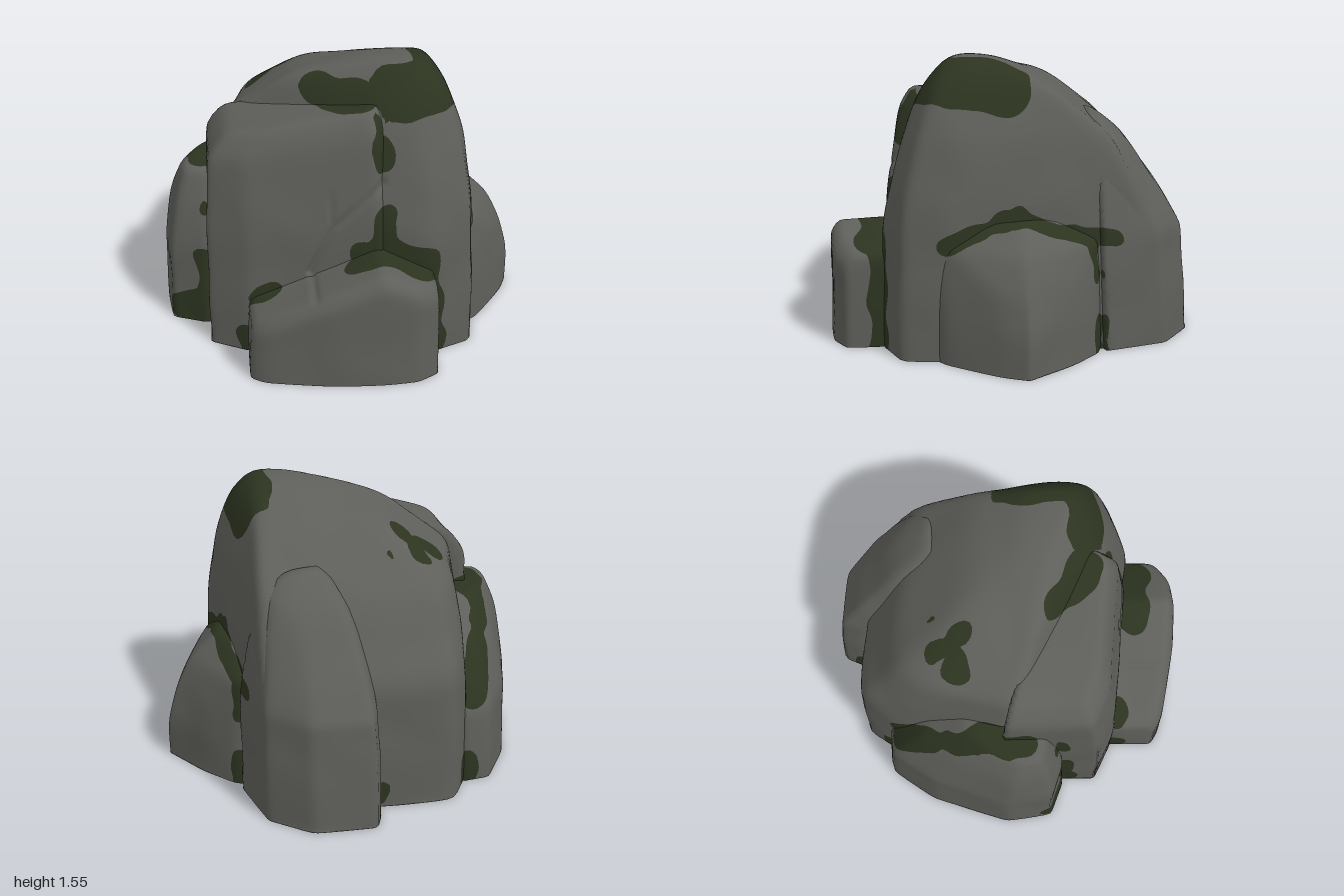
import * as THREE from 'three';
import { mergeVertices } from 'three/addons/utils/BufferGeometryUtils.js';
import { ConvexGeometry } from 'three/addons/geometries/ConvexGeometry.js';

const V = (x, y, z) => new THREE.Vector3(x, y, z);

// Rough block: a footprint [x, z] repeated at each level [y, scaleX, scaleZ, shiftX, shiftZ];
// the top falls away from x = ridge by the given slope
function roughBlock(footprint, levels, ridge = 0, slope = 0) {
  const corners = [], centre = V(0, 0, 0);
  for (const [y, sx, sz, dx, dz] of [[-0.2, 1, 1, 0, 0], [0, 1, 1, 0, 0], ...levels]) {
    for (const [fx, fz] of footprint) {
      const x = fx * sx + dx;
      const p = V(x, y > 0 ? y - slope * Math.abs(x - ridge) : y, fz * sz + dz);
      corners.push(p);
      centre.add(p);
    }
  }
  centre.divideScalar(corners.length);
  centre.y *= 0.8;
  return { corners, centre };
}

const mainBoulder = () => roughBlock(
  [[-0.72, -0.05], [-0.55, -0.7], [-0.42, -0.87], [0, -0.85], [0.62, -0.72], [0.72, 0.4], [0.67, 0.66], [0.42, 0.75], [0.15, 0.69]],
  [[0.7, 0.97, 0.97, 0, 0], [1.15, 0.89, 0.74, 0, 0.06], [1.44, 0.58, 0.42, 0.13, 0.17], [1.58, 0.16, 0.12, 0.31, 0.28]]);

const backBoulder = () => roughBlock(
  [[0, -0.88], [0.06, -1.01], [0.4, -0.97], [0.61, -0.79], [0.68, -0.45], [0.05, -0.4]],
  [[0.6, 0.97, 0.97, 0.01, 0.02], [0.93, 0.8, 0.6, 0.06, -0.14], [1.14, 0.6, 0.3, 0.12, -0.28], [1.27, 0.3, 0.1, 0.2, -0.32]]);

const frontSlab = () => roughBlock(
  [[-0.76, -0.08], [-0.77, 0.5], [-0.55, 0.62], [0.17, 0.71], [0.24, 0.6], [0.2, 0.3]],
  [[0.8, 0.97, 0.96, -0.02, 0], [1.27, 0.92, 0.82, -0.03, 0.02], [1.39, 0.78, 0.68, -0.03, 0.05]], 0.16, 0.2);

const frontBoulder = () => roughBlock(
  [[-0.56, 0.5], [-0.57, 0.86], [-0.49, 0.91], [-0.1, 0.99], [0.13, 1.005], [0.32, 0.995], [0.44, 0.93], [0.46, 0.55], [0.13, 0.5]],
  [[0.58, 0.99, 0.99, 0, 0], [0.65, 0.96, 0.92, 0, 0.02]], 0.13, 0.46);

const rightBoulder = () => roughBlock(
  [[-0.5, -0.72], [-0.67, -0.71], [-0.85, -0.46], [-1.005, -0.03], [-0.97, 0.23], [-0.78, 0.32], [-0.5, 0.2]],
  [[0.42, 0.98, 0.96, -0.01, 0], [0.73, 0.9, 0.72, -0.04, 0.03], [0.92, 0.58, 0.4, -0.29, 0.06]]);

const leftBoulder = () => roughBlock(
  [[0.6, -0.44], [0.7, -0.4], [0.85, -0.23], [1.01, 0.02], [0.95, 0.15], [0.74, 0.43], [0.6, 0.52]],
  [[0.22, 0.98, 1, 0.01, 0], [0.4, 0.88, 0.98, 0.07, 0], [0.61, 0.6, 0.94, 0.24, 0], [0.75, 0.25, 0.45, 0.45, 0.02]]);

// A band of radius r along a path of points
const band = (r, ...points) => points.slice(1).map((p, i) => ({ r, line: new THREE.Line3(V(...points[i]), V(...p)) }));
// An upright band, marking a spot on a sloping top
const spot = (r, x, z) => band(r, [x, 0.95, z], [x, 1.5, z]);

// Moss on the peak, the slab top, the front boulder and the back slope
const mossPatches = [
  ...band(0.165, [0.48, 1.42, 0.1], [0.42, 1.43, 0.38], [0.28, 1.42, 0.42]),
  ...band(0.1, [-0.15, 1.38, 0.27], [0.08, 1.38, 0.42]),
  ...band(0.09, [0.03, 0.63, 0.75], [0.35, 0.58, 0.77]),
  ...spot(0.08, -0.43, -0.28), ...spot(0.06, -0.34, -0.39), ...spot(0.05, -0.27, -0.25), ...spot(0.035, -0.17, -0.39),
];

// Moss along the joints between boulders
const mossJoints = [
  ...band(0.055, [0.17, 1.35, 0.55], [0.18, 1.1, 0.6]),
  ...band(0.06, [0.18, 0.82, 0.67], [0.16, 0.66, 0.69], [0.4, 0.58, 0.73], [0.45, 0, 0.74]),
  ...band(0.045, [-0.42, 0.39, 0.63], [-0.54, 0.33, 0.63]),
  ...band(0.06, [-0.58, 0.1, 0.63], [-0.58, 0, 0.63]),
  ...band(0.085, [-0.76, 0.89, 0.08], [-0.7, 0.84, -0.2], [-0.58, 0.5, -0.64]),
  ...band(0.06, [-0.53, 0.14, -0.72], [-0.53, 0, -0.73]),
  ...band(0.045, [-0.78, 0.9, 0.24], [-0.77, 0.72, 0.28]),
  ...band(0.045, [-0.78, 0.42, 0.3], [-0.78, 0.2, 0.31]),
  ...band(0.1, [-0.92, 0.07, 0.25], [-0.79, 0.1, 0.31]),
  ...band(0.045, [0.68, 0.62, 0.42], [0.68, 0.75, 0.1]),
  ...band(0.05, [0.68, 0.75, 0.03], [0.66, 0.65, -0.3], [0.65, 0.62, -0.48]),
  ...band(0.045, [0.67, 0.6, -0.38], [0.68, 0.44, -0.39]),
  ...band(0.06, [0.69, 0.16, -0.41], [0.69, 0, -0.42]),
  ...band(0.05, [0, 0.1, -0.87], [0, 0, -0.87]),
];
const moss = [...mossPatches, ...mossJoints];

// Cracks across the slab, drawn in x and y
const cracks = [
  ...band(0.03, [0.16, 1, 0], [-0.1, 0.76, 0], [-0.22, 0.5, 0]),
  ...band(0.02, [-0.1, 0.76, 0], [-0.11, 0.95, 0]),
];

const near = V();
const depthIn = (bands, p) => Math.max(...bands.map(({ r, line }) => r - line.closestPointToPoint(p, true, near).distanceTo(p)));
const wave = (p, f) => (Math.sin(p.x * f + 2 * Math.sin(p.y * f * 0.7)) + Math.sin(p.y * f * 1.1 + 2 * Math.sin(p.z * f * 0.8))
  + Math.sin(p.z * f * 0.9 + 2 * Math.sin(p.x * f * 0.6))) / 3;
const crackDepth = (p) => (p.z > 0.3 ? 0.8 * Math.max(0, depthIn(cracks, V(p.x, p.y, 0))) : 0);

// Worn stone: a fine sphere pushed out to the softened planes of the block's hull
function wornStone({ corners, centre }, detail) {
  const hull = new ConvexGeometry(corners).getAttribute('position');
  const planes = [];
  for (let i = 0; i < hull.count; i += 3) {
    const [a, b, d] = [0, 1, 2].map((k) => V().fromBufferAttribute(hull, i + k));
    const n = b.clone().sub(a).cross(d.sub(a));
    if (n.length() < 1e-7) continue;
    n.normalize();
    planes.push(n.divideScalar(Math.max(0.02, n.dot(a.sub(centre)))));
  }
  let geo = new THREE.IcosahedronGeometry(1, detail);
  geo.deleteAttribute('normal');
  geo.deleteAttribute('uv');
  geo = mergeVertices(geo);
  const pos = geo.getAttribute('position'), dir = V(), p = V();
  for (let i = 0; i < pos.count; i++) {
    dir.fromBufferAttribute(pos, i).normalize();
    const sum = planes.reduce((s, n) => s + Math.max(0, n.dot(dir)) ** 50, 0);
    p.copy(dir).multiplyScalar(1.012 * sum ** (-1 / 50)).add(centre);
    p.addScaledVector(dir, 0.008 * wave(p, 11) - crackDepth(p));
    pos.setXYZ(i, p.x, Math.max(0, p.y), p.z);
  }
  geo.computeVertexNormals();
  return geo;
}

// Cut every triangle along the moss outline into a stone group and a moss group
function paintMoss(geo) {
  const pos = geo.getAttribute('position'), nor = geo.getAttribute('normal'), index = geo.index;
  const verts = [];
  for (let i = 0; i < pos.count; i++) {
    const p = V().fromBufferAttribute(pos, i);
    verts.push({ p, n: V().fromBufferAttribute(nor, i), f: depthIn(moss, p) + 0.028 * wave(p, 22) });
  }
  const sides = [[], []];
  for (let i = 0; i < index.count; i += 3) {
    const tri = [0, 1, 2].map((k) => verts[index.getX(i + k)]);
    const polys = [[], []];
    tri.forEach((a, k) => {
      const b = tri[(k + 1) % 3];
      polys[a.f > 0 ? 1 : 0].push(a);
      if ((a.f > 0) !== (b.f > 0)) {
        const t = a.f / (a.f - b.f);
        const cut = { p: a.p.clone().lerp(b.p, t), n: a.n.clone().lerp(b.n, t).normalize() };
        polys.forEach((poly) => poly.push(cut));
      }
    });
    polys.forEach((poly, s) => {
      for (let k = 2; k < poly.length; k++) sides[s].push(poly[0], poly[k - 1], poly[k]);
    });
  }
  const all = sides[0].concat(sides[1]);
  const out = new THREE.BufferGeometry();
  out.setAttribute('position', new THREE.Float32BufferAttribute(all.flatMap((v) => v.p.toArray()), 3));
  out.setAttribute('normal', new THREE.Float32BufferAttribute(all.flatMap((v) => v.n.toArray()), 3));
  out.addGroup(0, sides[0].length, 0);
  out.addGroup(sides[0].length, sides[1].length, 1);
  return out;
}

export function createModel() {
  const stone = new THREE.MeshStandardMaterial({ color: 0x5e5e5a });
  stone.name = 'stone grey';
  const green = new THREE.MeshStandardMaterial({ color: 0x2c3420 });
  green.name = 'moss green';
  const group = new THREE.Group();
  group.name = 'mossyRocks';
  const addStone = (name, block, detail) => {
    const mesh = new THREE.Mesh(paintMoss(wornStone(block, detail)), [stone, green]);
    mesh.name = name;
    group.add(mesh);
  };
  addStone('mainBoulder', mainBoulder(), 32);
  addStone('backBoulder', backBoulder(), 22);
  addStone('frontSlab', frontSlab(), 40);
  addStone('frontBoulder', frontBoulder(), 24);
  addStone('rightBoulder', rightBoulder(), 24);
  addStone('leftBoulder', leftBoulder(), 22);
  return group;
}
